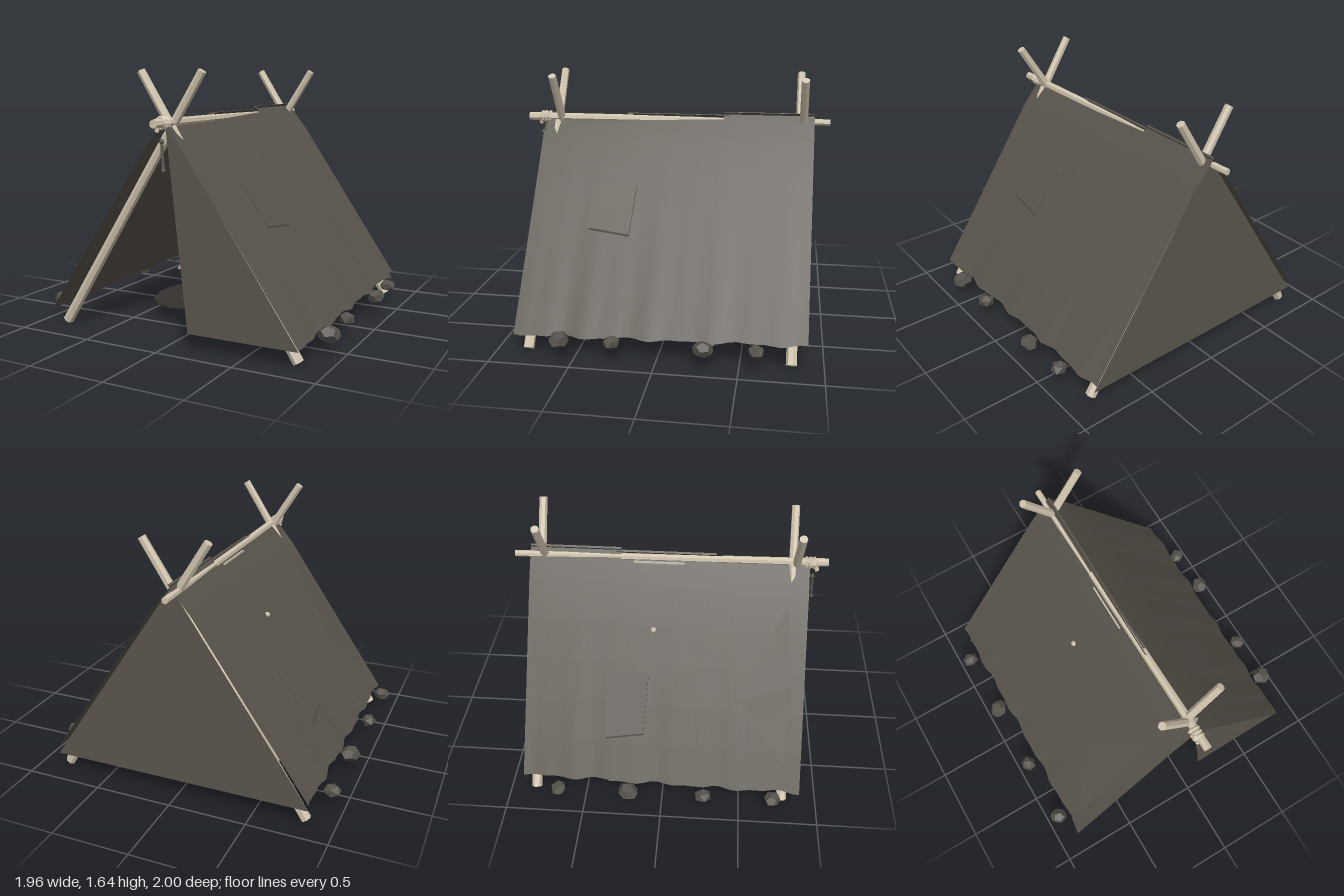
import * as THREE from 'three';

const mat = (name, color, extra = {}) => {
  const m = new THREE.MeshStandardMaterial({ color, ...extra });
  m.name = name;
  return m;
};

// Height of the roof slope at a distance x from the ridge
const slopeY = (x) => 1.38 - 1.45 * Math.abs(x);

export function createModel() {
  const root = new THREE.Group();
  root.name = 'ridgeTent';
  const wood = mat('pale wood', 0xd0c4ae, { flatShading: true });
  const cloth = mat('dark hide', 0x5a554d, { side: THREE.DoubleSide });
  const lining = mat('pale lining', 0xcbc0b0, { side: THREE.DoubleSide });
  const stoneMat = mat('stone', 0x56524c, { flatShading: true });
  const ash = mat('charred mat', 0x35322f, { flatShading: true });

  const add = (name, geo, material, pos = [0, 0, 0]) => {
    const m = new THREE.Mesh(geo, material);
    m.name = name;
    m.position.set(...pos);
    root.add(m);
    return m;
  };

  // Rod between two points
  const rod = (name, a, b, r0, r1, sides, material) => {
    const p = new THREE.Vector3(...a), q = new THREE.Vector3(...b);
    const d = q.clone().sub(p);
    const m = add(name, new THREE.CylinderGeometry(r1, r0, d.length(), sides), material);
    m.position.copy(p).add(q).multiplyScalar(0.5);
    m.quaternion.setFromUnitVectors(new THREE.Vector3(0, 1, 0), d.normalize());
    return m;
  };

  // Flat sheet from a fan of corners
  const sheet = (name, pts, material) => {
    const g = new THREE.BufferGeometry();
    g.setAttribute('position', new THREE.Float32BufferAttribute(pts.flat(), 3));
    const idx = [];
    for (let i = 1; i < pts.length - 1; i++) idx.push(0, i, i + 1);
    g.setIndex(idx);
    g.computeVertexNormals();
    return add(name, g, material);
  };

  // Crossed end poles and the ridge pole
  for (const z of [0.79, -0.82]) {
    for (const s of [-1, 1]) {
      const zz = z + s * 0.012;
      rod('crossPole', [s * 0.82, 0.02, zz], [-s * 0.2, 1.625, zz], 0.034, 0.026, 7, wood);
    }
  }
  rod('ridgePole', [0.01, 1.33, 1], [-0.02, 1.33, -1], 0.027, 0.021, 7, wood);

  // Lashing and knot at the front of the ridge
  for (const z of [0.86, 0.885, 0.91]) add('lashing', new THREE.TorusGeometry(0.03, 0.012, 5, 10), wood, [0, 1.33, z]);
  add('knot', new THREE.IcosahedronGeometry(0.036, 0), wood, [-0.01, 1.335, 0.9]);
  rod('knotEnd', [0, 1.33, 0.92], [-0.015, 1.28, 0.93], 0.014, 0.014, 5, wood);

  // Hanging charm
  rod('charmCord', [0.005, 1.24, 0.91], [0.022, 1.06, 0.92], 0.008, 0.01, 6, stoneMat);
  add('charmTop', new THREE.IcosahedronGeometry(0.017, 0), stoneMat, [0.005, 1.225, 0.91]);
  add('charmBead', new THREE.IcosahedronGeometry(0.017, 0), stoneMat, [0.022, 1.06, 0.92]);

  // Roof panel: a grid running from the ridge to a wavy hem
  const panel = (side, z0, z1, lift) => {
    const g = new THREE.PlaneGeometry(1, 1, 14, 6);
    const p = g.attributes.position;
    for (let i = 0; i < p.count; i++) {
      const u = p.getX(i) + 0.5, t = 0.5 - p.getY(i);
      const z = z0 + (z1 - z0) * u;
      const wave = t * t * (0.007 * Math.sin(z * 17 + side) + 0.005 * Math.sin(z * 31));
      const x = -0.012 + t * (0.862 + wave);
      const y = slopeY(x) + lift * (1 - 0.55 * t) + wave * 0.8 - t * 0.01 * z - 0.017;
      p.setXYZ(i, side * x, y, z);
    }
    g.computeVertexNormals();
    add('roofPanel', g, cloth);
  };
  for (const [side, seam] of [[1, 0.33], [-1, 0.29]]) {
    panel(side, 0.885, seam - 0.03, 0);
    panel(side, seam, -0.35, 0.02);
    panel(side, -0.315, -0.9, 0.04);
  }

  // Back wall, inner curtain and closed half of the door
  sheet('backWall', [[0, 1.37, -0.885], [-0.85, 0.11, -0.885], [0.85, 0.11, -0.885]], cloth);
  sheet('innerCurtain', [[0, 1.12, -0.42], [-0.73, 0.105, -0.42], [0.73, 0.105, -0.42]], lining);
  sheet('doorFlap', [[0.005, 1.35, 0.875], [0.15, 0.105, 0.885], [0.85, 0.105, 0.875]], cloth);

  // Open half of the door, folded back over the roof
  sheet('foldedFlap', [[-0.56, 0.64, 0.47], [-0.19, 1.125, 0.755], [-0.48, 0.7, 0.8], [-0.77, 0.29, 0.77]], cloth);

  // Patches lying on the roof, given as x, z corners
  const patch = (corners) => {
    const ring = (lift) => corners.map(([x, z]) => [x, slopeY(x) + lift, z]);
    const top = ring(0.024), low = ring(0.01);
    sheet('patch', top, cloth);
    for (let i = 0; i < 4; i++) {
      const j = (i + 1) % 4;
      sheet('patchEdge', [low[i], low[j], top[j], top[i]], cloth);
    }
  };
  patch([[0.31, 0.5], [0.31, 0.21], [0.5, 0.23], [0.48, 0.49]]);
  patch([[-0.7, -0.37], [-0.47, -0.39], [-0.46, -0.11], [-0.68, -0.13]]);

  // Pale ties showing through the left roof
  add('ridgeTie', new THREE.BoxGeometry(0.009, 0.012, 0.32), lining, [-0.047, slopeY(0.047) + 0.004, -0.07]);
  add('toggle', new THREE.IcosahedronGeometry(0.02, 0), lining, [-0.29, slopeY(0.29) + 0.003, -0.09]);

  // Oval mat on the ground inside
  const mat0 = add('groundMat', new THREE.CylinderGeometry(1, 1, 0.008, 14), ash, [-0.23, 0.106, 0.13]);
  mat0.scale.set(0.26, 1, 0.36);

  // Stones weighing down the hems: x, z, size
  const stones = [
    [-0.925, -0.66, 0.056], [-0.92, -0.21, 0.066], [-0.925, 0.27, 0.055], [-0.92, 0.71, 0.056],
    [0.9, -0.6, 0.056], [0.915, -0.29, 0.062], [0.905, 0.26, 0.055], [0.912, 0.58, 0.068],
  ];
  stones.forEach(([x, z, r], i) => {
    const geo = i % 2 ? new THREE.DodecahedronGeometry(r, 0) : new THREE.IcosahedronGeometry(r, 0);
    geo.rotateX(i * 1.3);
    geo.rotateZ(i * 0.7);
    geo.scale(1.05, 0.76, 0.92);
    geo.rotateY(i * 0.9);
    add('stone', geo, stoneMat, [x, 0.135, z]);
  });

  return root;
}
